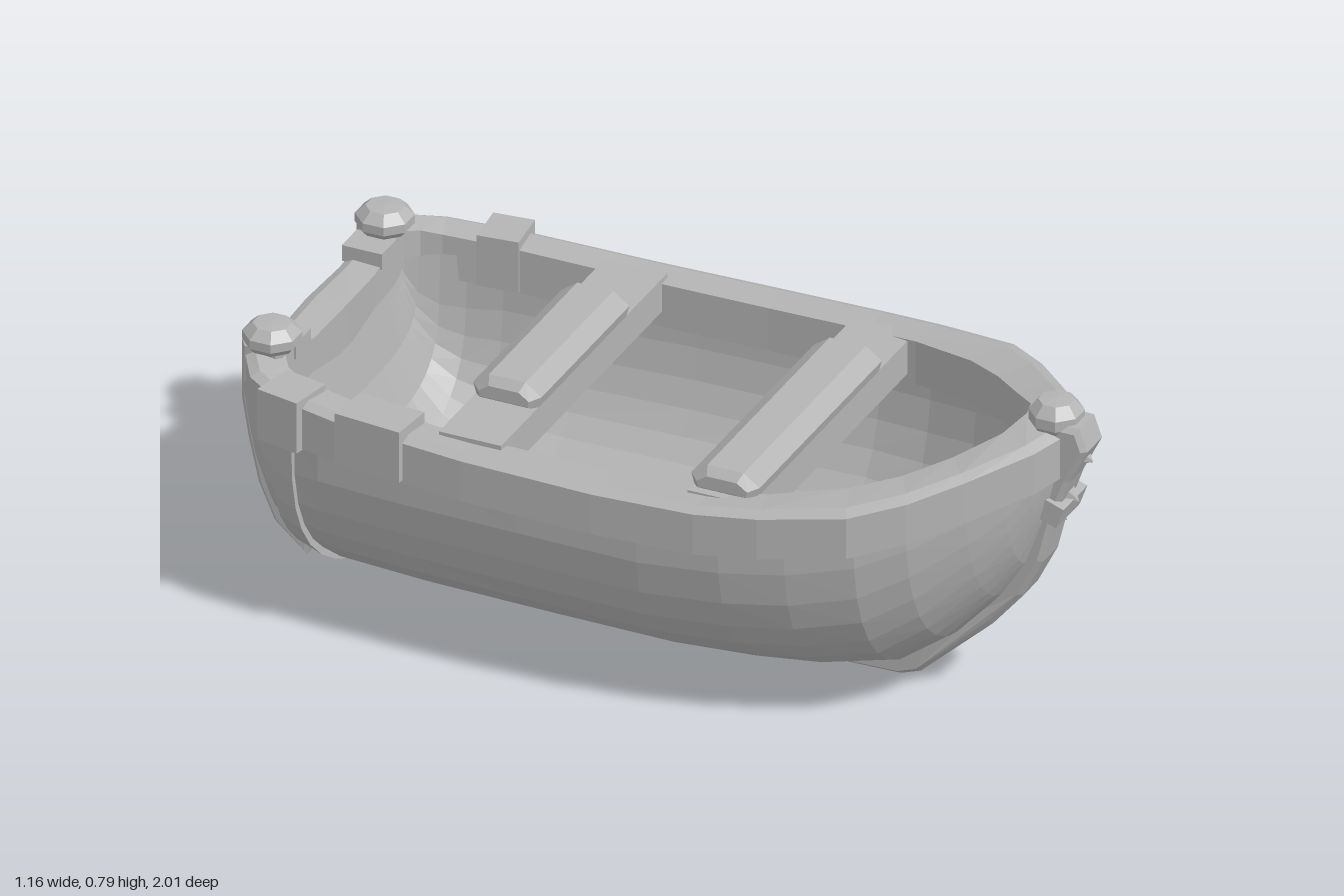
import * as THREE from 'three';

const YAW = 0.168;

// hull stations: z, half width, sheer height, bottom height, section roundness
const STATIONS = [
  [-0.945, 0.35, 0.56, 0.53, 5], [-0.93, 0.365, 0.56, 0.42, 5], [-0.905, 0.385, 0.56, 0.3, 4.5],
  [-0.86, 0.415, 0.56, 0.19, 4], [-0.8, 0.44, 0.555, 0.12, 3.4], [-0.71, 0.46, 0.55, 0.075, 2.9],
  [-0.5, 0.475, 0.54, 0.06, 2.7], [-0.2, 0.49, 0.54, 0.055, 2.6], [0.1, 0.495, 0.54, 0.055, 2.6],
  [0.3, 0.485, 0.55, 0.06, 2.5], [0.45, 0.455, 0.56, 0.065, 2.4], [0.6, 0.405, 0.58, 0.09, 2.3],
  [0.7, 0.34, 0.6, 0.16, 2.2], [0.8, 0.235, 0.62, 0.27, 2.1], [0.86, 0.16, 0.64, 0.36, 2.1],
  [0.9, 0.11, 0.655, 0.46, 2], [0.94, 0.05, 0.67, 0.58, 2],
];

// gunwale half loop: outer x, outer z, inner x, inner z, top height
const RAIL = [
  [0, -0.955, 0, -0.855, 0.6], [0.17, -0.952, 0.16, -0.86, 0.595], [0.34, -0.945, 0.31, -0.86, 0.63],
  [0.41, -0.9, 0.345, -0.835, 0.62], [0.455, -0.82, 0.365, -0.79, 0.61], [0.486, -0.64, 0.39, -0.64, 0.6],
  [0.505, -0.33, 0.405, -0.33, 0.59], [0.515, 0, 0.41, 0, 0.59], [0.51, 0.25, 0.405, 0.25, 0.597],
  [0.49, 0.4, 0.385, 0.38, 0.61], [0.44, 0.6, 0.32, 0.55, 0.635], [0.355, 0.71, 0.25, 0.65, 0.655],
  [0.25, 0.805, 0.165, 0.735, 0.68], [0.12, 0.915, 0.075, 0.815, 0.715], [0, 0.97, 0, 0.84, 0.735],
];

// flat shaded surface from a grid function f(i, j)
function grid(f, nu, nv, flip = false) {
  const pos = [];
  for (let i = 0; i < nu; i++) {
    for (let j = 0; j < nv; j++) {
      const a = f(i, j), b = f(i + 1, j), c = f(i + 1, j + 1), d = f(i, j + 1);
      for (const p of flip ? [a, c, b, a, d, c] : [a, b, c, a, c, d]) pos.push(...p);
    }
  }
  const g = new THREE.BufferGeometry();
  g.setAttribute('position', new THREE.Float32BufferAttribute(pos, 3));
  g.computeVertexNormals();
  return g;
}

function flat(g) {
  const out = g.index ? g.toNonIndexed() : g;
  out.computeVertexNormals();
  return out;
}

function station(z) {
  let i = 0;
  while (i < STATIONS.length - 2 && z > STATIONS[i + 1][0]) i++;
  const a = STATIONS[i], b = STATIONS[i + 1];
  const u = THREE.MathUtils.clamp((z - a[0]) / (b[0] - a[0]), 0, 1);
  return a.map((v, k) => v + (b[k] - v) * u);
}

// point on the hull: t runs from -1 (right sheer) through 0 (keel) to 1 (left sheer)
function hullPoint(z, t, offset = 0) {
  const [, w0, s, k0, n] = station(z);
  const w = Math.max(0.012, w0 + offset), k = Math.min(s - 0.005, k0 - offset);
  const a = Math.abs(t) * Math.PI / 2;
  return [
    Math.sign(t) * w * Math.pow(Math.sin(a), 2 / n),
    s - (s - k) * Math.pow(Math.max(0, Math.cos(a)), 2 / n), z,
  ];
}

// side profile given as [z, y], extruded across x
function profile(points, width, bevel = 0.012) {
  const shape = new THREE.Shape(points.map(([z, y]) => new THREE.Vector2(z, y)));
  const g = new THREE.ExtrudeGeometry(shape, {
    depth: width - 2 * bevel, bevelEnabled: bevel > 0, bevelThickness: bevel,
    bevelSize: bevel, bevelOffset: -bevel, bevelSegments: 1,
  });
  g.translate(0, 0, -(width / 2 - bevel));
  return g.rotateY(-Math.PI / 2);
}

export function createModel() {
  const root = new THREE.Group();
  root.name = 'rowingBoat';
  const boat = new THREE.Group();
  boat.name = 'boat';
  boat.rotation.y = YAW;
  boat.position.x = 0.02;
  root.add(boat);

  const grey = new THREE.MeshStandardMaterial({ color: 0xb4b4b4 });
  grey.name = 'grey';
  const add = (name, geometry, x = 0, y = 0, z = 0) => {
    const m = new THREE.Mesh(geometry, grey);
    m.name = name;
    m.position.set(x, y, z);
    boat.add(m);
    return m;
  };

  // outer and inner skins
  const last = STATIONS.length - 1, SEG = 18;
  add('hullOutside', grid((i, j) => hullPoint(STATIONS[i][0], j / SEG * 2 - 1), last, SEG, true));
  add('hullInside', grid((i, j) => {
    const p = hullPoint(STATIONS[i][0], j / SEG * 2 - 1, -0.06);
    p[2] *= 0.92;
    return p;
  }, last, SEG));

  // gunwale running all the way round
  const n = RAIL.length - 1;
  add('gunwale', grid((i, j) => {
    const side = i <= n ? 1 : -1;
    const [xo, zo, xi, zi, y] = RAIL[i <= n ? i : 2 * n - i];
    const c = [[xo, y - 0.012, zo], [xo, y - 0.115, zo], [xi, y - 0.115, zi], [xi, y - 0.005, zi],
      [xi * 0.25 + xo * 0.75, y, zi * 0.25 + zo * 0.75]];
    const p = c[j % 5];
    return [p[0] * side, p[1], p[2]];
  }, 2 * n, 5));

  // stem and keel in one curved timber, wider along the bottom
  const keel = profile([
    [0.99, 0.745], [1.01, 0.69], [0.965, 0.6], [0.93, 0.5], [0.9, 0.38], [0.85, 0.28], [0.775, 0.19],
    [0.6, 0.03], [0.55, 0.012], [0, 0], [-0.85, 0.03], [-0.85, 0.07], [-0.5, 0.085], [0.5, 0.09],
    [0.62, 0.13], [0.74, 0.23], [0.82, 0.34], [0.86, 0.45], [0.88, 0.6], [0.89, 0.745],
  ], 0.1);
  const kp = keel.attributes.position;
  for (let i = 0; i < kp.count; i++) {
    if (kp.getY(i) < 0.15) kp.setX(i, kp.getX(i) * 1.3);
  }
  add('stemAndKeel', flat(keel));
  add('keelEndBlock', profile([[-0.75, 0.03], [-0.87, 0.03], [-0.875, 0.12], [-0.85, 0.135], [-0.77, 0.1]], 0.12), 0, 0, 0);

  // rounded cap used on the stem and the stern posts
  const cap = (size, height) => {
    const pts = [[0, 0], [0.8, 0], [1, 0.25], [1, 0.6], [0.65, 0.95], [0, 1]]
      .map(([r, y]) => new THREE.Vector2(r * size, y * height));
    return flat(new THREE.LatheGeometry(pts, 8, Math.PI / 8));
  };
  add('stemCap', cap(0.064, 0.075), 0, 0.715, 0.915);

  // stem band and studs
  add('stemBand', flat(new THREE.BoxGeometry(0.125, 0.055, 0.09)), 0, 0.53, 0.91).rotation.x = 0.35;
  for (const [y, z] of [[0.65, 0.99], [0.54, 0.955], [0.485, 0.925]]) {
    const stud = add('stemStud', flat(new THREE.ConeGeometry(0.03, 0.035, 5)), 0, y, z);
    stud.rotation.x = Math.PI / 2 + 0.35;
  }

  // stern posts with caps
  for (const side of [-1, 1]) {
    add('sternPost', profile([
      [-0.962, 0.65], [-0.962, 0.5], [-0.945, 0.4], [-0.92, 0.29], [-0.88, 0.2], [-0.8, 0.13],
      [-0.78, 0.18], [-0.84, 0.25], [-0.86, 0.4], [-0.86, 0.65],
    ], 0.07), side * 0.3);
    add('sternPostCap', cap(0.068, 0.062), side * 0.295, 0.632, -0.9);
    add('sternPostFoot', flat(new THREE.BoxGeometry(0.08, 0.04, 0.1)), side * 0.225, 0.61, -0.905);
  }

  // strap wrapped round the hull near the stern
  const strapRows = [[-0.765, 0], [-0.765, 0.014], [-0.705, 0.014], [-0.705, 0]];
  add('hullStrap', grid((i, j) => {
    const t = j / SEG * 2 - 1;
    const z = strapRows[i][0] + 0.07 * Math.sin(t * Math.PI / 2);
    return hullPoint(z, t, strapRows[i][1]);
  }, 3, SEG, true));
  for (const [x, z, len] of [[0.435, -0.665, 0.1], [-0.425, -0.79, 0.11], [-0.447, -0.56, 0.17]]) {
    const clamp = add('gunwaleClamp', flat(new THREE.BoxGeometry(0.11, 0.13, len)), x, 0.553, z);
    clamp.rotation.y = Math.sign(x) * -0.1 * (z < -0.75 ? -2 : -1);
  }

  // thwarts: a plank with a thick rounded board on top
  const arch = [[-0.075, 0], [-0.085, 0.045], [-0.045, 0.08], [0.045, 0.08], [0.085, 0.045], [0.075, 0]];
  for (const [z, x0, x1] of [[0.28, -0.42, 0.26], [-0.34, -0.26, 0.24]]) {
    add('thwartPlank', flat(new THREE.BoxGeometry(0.87, 0.085, 0.155)), 0, 0.556, z);
    const len = x1 - x0;
    const board = profile(arch, len, 0.02);
    const bp = board.attributes.position;
    for (let i = 0; i < bp.count; i++) {
      const e = Math.abs(bp.getX(i)) / (len / 2);
      bp.setY(i, bp.getY(i) * (1.05 - 0.25 * e * e));
    }
    add('thwartBoard', flat(board), (x0 + x1) / 2, 0.588, z);
  }
  return root;
}
